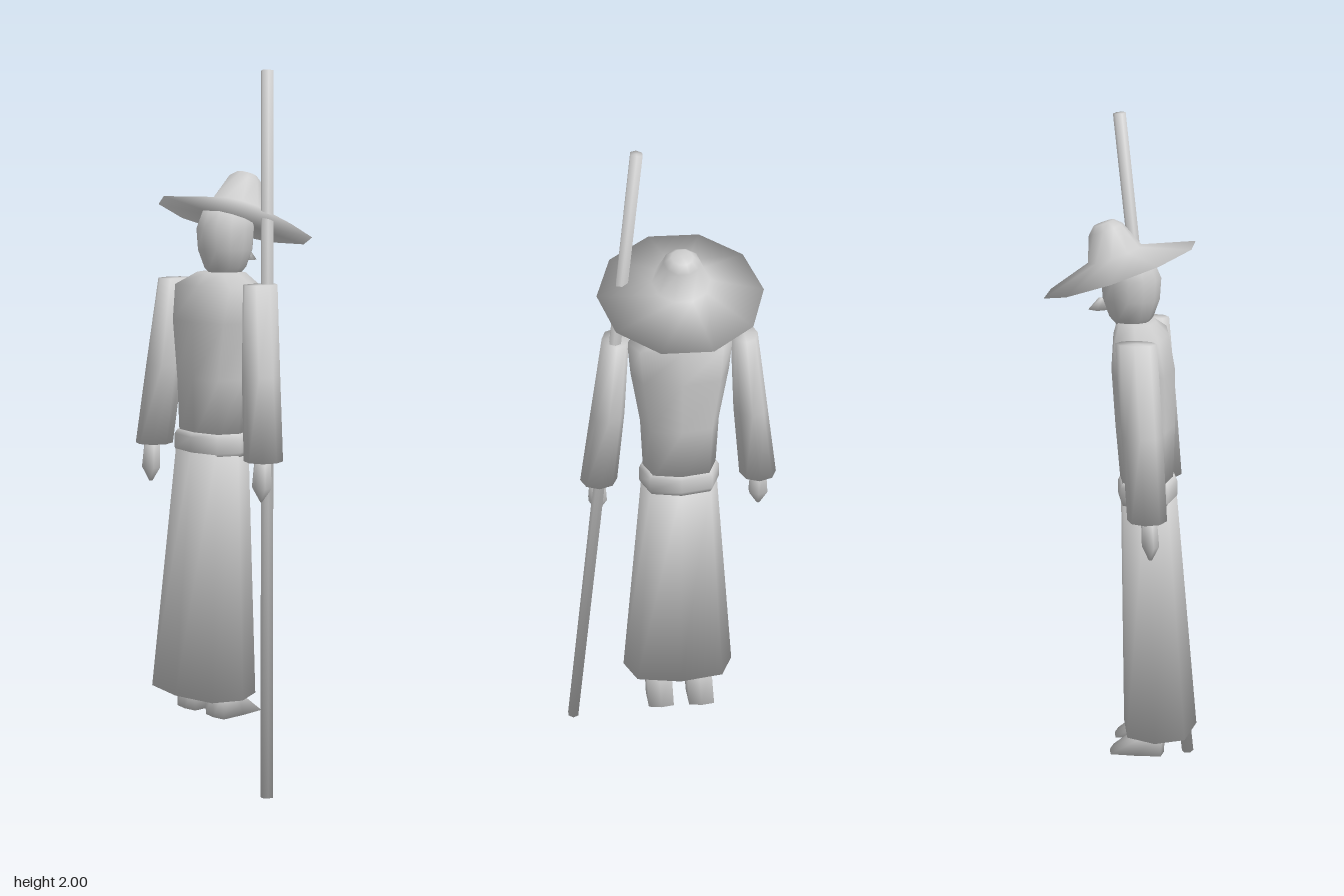
import * as THREE from 'three';

const grey = new THREE.MeshStandardMaterial({ color: 0xcccccc });
grey.name = 'plain grey';

// Fully smooth normals, each face weighted by its corner angle
function smoothNormals(g) {
  const p = g.attributes.position, index = g.index.array;
  const sums = Array.from({ length: p.count }, () => new THREE.Vector3());
  const at = (i) => new THREE.Vector3().fromBufferAttribute(p, i);
  for (let f = 0; f < index.length; f += 3) {
    const ids = [index[f], index[f + 1], index[f + 2]];
    const v = ids.map(at);
    const normal = v[1].clone().sub(v[0]).cross(v[2].clone().sub(v[0])).normalize();
    for (let k = 0; k < 3; k++) {
      const e1 = v[(k + 1) % 3].clone().sub(v[k]);
      const e2 = v[(k + 2) % 3].clone().sub(v[k]);
      sums[ids[k]].addScaledVector(normal, e1.angleTo(e2));
    }
  }
  const normals = sums.flatMap((n) => n.normalize().toArray());
  g.setAttribute('normal', new THREE.Float32BufferAttribute(normals, 3));
  return g;
}

// Closed solid from rings [y, centreX, centreZ, radiusX, radiusZ], bottom to top
function loft(rings, sides = 8, square = 1) {
  const pos = [], index = [];
  for (const [y, cx, cz, rx, rz] of rings) {
    for (let i = 0; i < sides; i++) {
      const a = (i / sides) * Math.PI * 2;
      const k = 1 + (square - 1) * Math.abs(Math.sin(2 * a));
      pos.push(cx + rx * k * Math.sin(a), y, cz + rz * k * Math.cos(a));
    }
  }
  const last = rings.length - 1;
  const bottom = pos.length / 3, top = bottom + 1;
  for (const [y, cx, cz] of [rings[0], rings[last]]) pos.push(cx, y, cz);
  for (let i = 0; i < sides; i++) {
    const j = (i + 1) % sides;
    for (let r = 0; r < last; r++) {
      const lo = r * sides, hi = lo + sides;
      index.push(lo + i, lo + j, hi + j, lo + i, hi + j, hi + i);
    }
    index.push(bottom, j, i, top, last * sides + i, last * sides + j);
  }
  const g = new THREE.BufferGeometry();
  g.setAttribute('position', new THREE.Float32BufferAttribute(pos, 3));
  g.setIndex(index);
  return smoothNormals(g);
}

function add(parent, name, geometry) {
  const mesh = new THREE.Mesh(geometry, grey);
  mesh.name = name;
  parent.add(mesh);
  return mesh;
}

export function createModel() {
  const model = new THREE.Group();
  model.name = 'robedWanderer';

  // Body, built around its own middle line; the face looks towards -z
  const body = new THREE.Group();
  body.name = 'body';
  body.position.x = -0.03;
  model.add(body);

  add(body, 'skirt', loft([
    [0.235, 0, 0.107, 0.168, 0.107],
    [0.94, 0, 0.071, 0.11, 0.08],
  ], 8, 1.1));
  add(body, 'belt', loft([
    [0.922, 0, 0.068, 0.11, 0.08],
    [0.935, 0, 0.068, 0.117, 0.085],
    [0.975, 0, 0.068, 0.117, 0.085],
    [0.988, 0, 0.068, 0.108, 0.078],
  ], 8, 1.1));
  add(body, 'torso', loft([
    [0.97, 0, 0.065, 0.105, 0.075],
    [1.14, 0, 0.06, 0.113, 0.085],
    [1.3, 0, 0.054, 0.139, 0.09],
    [1.4, 0, 0.048, 0.148, 0.078],
    [1.437, 0, 0.035, 0.07, 0.055],
  ], 8, 1.1));

  // Head and small pointed nose
  add(body, 'head', loft([
    [1.425, 0, 0.02, 0.035, 0.04],
    [1.45, 0, 0.02, 0.058, 0.062],
    [1.5, 0, 0.02, 0.077, 0.08],
    [1.56, 0, 0.02, 0.082, 0.084],
    [1.61, 0, 0.01, 0.072, 0.072],
  ], 12));
  add(body, 'nose', loft([
    [1.466, 0, -0.073, 0.018, 0.028],
    [1.5, 0, -0.062, 0.008, 0.01],
  ], 4));

  // Wide hat tipped down over the face, with flat brim sides front and back
  const hat = add(body, 'hat', loft([
    [0, 0, 0, 0.228, 0.228],
    [0.045, 0, 0, 0.08, 0.08],
    [0.12, 0, 0, 0.05, 0.05],
    [0.138, 0, 0, 0.03, 0.03],
  ], 10).rotateY(Math.PI / 10));
  hat.position.set(0.005, 1.58, -0.012);
  hat.rotation.x = -0.34;

  // Sleeves, hands and shoes on both sides
  for (const [side, s] of [['left', 1], ['right', -1]]) {
    add(body, side + 'Sleeve', loft([
      [0.928, s * 0.233, 0.09, 0.054, 0.055],
      [1.16, s * 0.205, 0.073, 0.049, 0.057],
      [1.412, s * 0.18, 0.053, 0.038, 0.057],
    ]));
    add(body, side + 'Hand', loft([
      [0.815, s * 0.238, 0.1, 0.005, 0.005],
      [0.855, s * 0.237, 0.1, 0.031, 0.024],
      [0.94, s * 0.236, 0.095, 0.024, 0.022],
    ], 6));
    add(body, side + 'Shoe', loft([
      [0.167, s * 0.062, 0.045, 0.042, 0.08],
      [0.24, s * 0.062, 0.092, 0.04, 0.033],
    ], 8, 1.3));
  }

  // Long staff leaning through the left hand
  const foot = new THREE.Vector3(0.297, 0.002, 0.163);
  const tip = new THREE.Vector3(0.092, 1.998, -0.027);
  const along = tip.clone().sub(foot);
  const staff = add(model, 'staff', loft([
    [0, 0, 0, 0.018, 0.018],
    [along.length(), 0, 0, 0.018, 0.018],
  ], 6));
  staff.position.copy(foot);
  staff.quaternion.setFromUnitVectors(new THREE.Vector3(0, 1, 0), along.normalize());

  return model;
}
